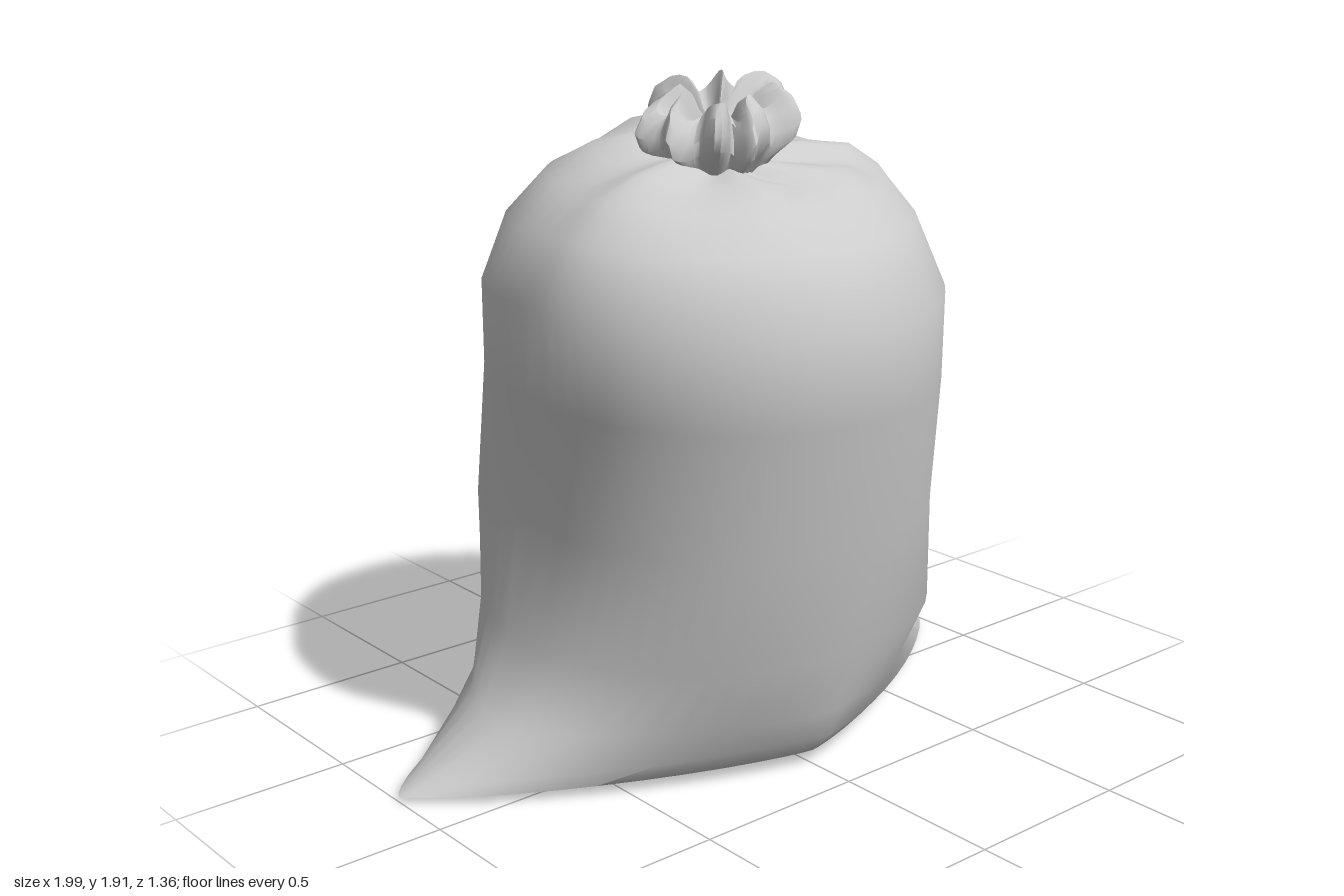
import * as THREE from 'three';
import { toCreasedNormals } from 'three/addons/utils/BufferGeometryUtils.js';

const material = new THREE.MeshStandardMaterial({ color: 0xcccccc, side: THREE.DoubleSide });
const { smoothstep } = THREE.MathUtils;

// Skins a stack of closed rings; each ring is an array of Vector3 with the same count.
function loft(rings, crease) {
  const n = rings[0].length;
  const index = [];
  for (let j = 0; j < rings.length - 1; j++) {
    for (let i = 0; i < n; i++) {
      const a = j * n + i, b = j * n + (i + 1) % n;
      index.push(a, a + n, b, b, a + n, b + n);
    }
  }
  const geometry = new THREE.BufferGeometry().setFromPoints(rings.flat());
  geometry.setIndex(index);
  return toCreasedNormals(geometry, crease);
}

const signedPow = (v, p) => Math.sign(v) * Math.abs(v) ** p;

// Superellipse section: pointed at the bottom corners, boxy low on the back,
// round above and pleated near the neck.
function sackRing([ySide, yFront, yBack, x0, x1, zBack, zFront, zSeam]) {
  const points = [];
  const count = 56;
  const frontPower = 1.25 + 0.85 * smoothstep(ySide, 0, 0.4) - 0.2 * smoothstep(ySide, 0.9, 1.4);
  const backPower = 1.4 + 1.4 * smoothstep(ySide, 0, 0.45) - 0.7 * smoothstep(ySide, 0.7, 1.4);
  const pleat = 0.06 * smoothstep(ySide, 1.6, 1.73);
  for (let i = 0; i < count; i++) {
    const a = (i / count) * Math.PI * 2;
    const front = i < count / 2;
    const power = 2 / (front ? frontPower : backPower);
    const c = signedPow(Math.cos(a), power), s = signedPow(Math.sin(a), power);
    const wave = pleat * Math.sin(a * 7 + 0.6);
    const fold = 1 + wave + 0.5 * pleat * Math.sin(a * 11);
    const y = ySide + ((front ? yFront : yBack) - ySide) * Math.abs(s);
    points.push(new THREE.Vector3(
      (x0 + x1) / 2 + ((x1 - x0) / 2) * c * fold,
      y + wave * 0.2,
      zSeam + (front ? zFront - zSeam : zSeam - zBack) * s * fold
    ));
  }
  return points;
}

// Gathered cloth above the tie: an uneven star of folds, tilted forward and to the right.
function crownRing([y, radius, depth]) {
  const points = [];
  const count = 96;
  for (let i = 0; i < count; i++) {
    const a = (i / count) * Math.PI * 2;
    const wave = Math.sin(a * 9 + 1.3 * Math.sin(a * 2 + 1)) + 0.5 * Math.sin(a * 14 + 1);
    const r = radius * (1 + depth * wave);
    const turn = a + depth * 0.5 * Math.sin(a * 5);
    const x = r * Math.cos(turn), z = r * Math.sin(turn);
    const ripple = 0.15 * depth * Math.sin(a * 8 + 2);
    points.push(new THREE.Vector3(-0.165 + x, y + ripple + 0.13 * x - 0.12 * z, 0.14 + z));
  }
  return points;
}

export function createModel() {
  const group = new THREE.Group();
  const add = (name, geometry) => {
    const mesh = new THREE.Mesh(geometry, material);
    mesh.name = name;
    group.add(mesh);
  };

  // Sack: underside, pulled-out bottom corners, leaning body, shoulders and tied neck
  const sections = [
    // ySide, yFront, yBack, x0, x1, zBack, zFront, zSeam
    [0.02, 0.02, 0.02, -0.001, 0.001, -0.101, -0.099, -0.1],
    [0.01, 0.025, 0.005, -0.9, 0.9, -0.42, 0.28, -0.19],
    [0.02, 0.05, 0.07, -1, 0.99, -0.58, 0.36, -0.2],
    [0.05, 0.11, 0.14, -0.94, 0.96, -0.62, 0.41, -0.19],
    [0.18, 0.2, 0.26, -0.73, 0.73, -0.66, 0.44, -0.15],
    [0.38, 0.38, 0.42, -0.62, 0.66, -0.67, 0.49, -0.11],
    [0.74, 0.72, 0.7, -0.62, 0.56, -0.675, 0.57, -0.03],
    [1.1, 1.08, 1.12, -0.66, 0.525, -0.62, 0.635, 0.06],
    [1.38, 1.32, 1.36, -0.73, 0.5, -0.57, 0.68, 0.13],
    [1.54, 1.51, 1.53, -0.65, 0.45, -0.53, 0.56, 0.12],
    [1.64, 1.6, 1.67, -0.56, 0.38, -0.39, 0.45, 0.12],
    [1.69, 1.65, 1.75, -0.45, 0.27, -0.24, 0.37, 0.13],
    [1.71, 1.66, 1.78, -0.37, 0.12, -0.1, 0.3, 0.14],
    [1.72, 1.68, 1.74, -0.28, -0.05, 0.03, 0.25, 0.14],
  ];
  add('sack', loft(sections.map(sackRing), 0.9));

  // Ruffled mouth: flares out of the neck, then curls back into a hollow
  const crown = [
    // y, radius, fold depth
    [1.68, 0.115, 0.05],
    [1.72, 0.145, 0.08],
    [1.76, 0.18, 0.12],
    [1.8, 0.185, 0.15],
    [1.84, 0.165, 0.17],
    [1.86, 0.13, 0.2],
    [1.83, 0.09, 0.22],
    [1.79, 0.06, 0.2],
    [1.77, 0.001, 0],
  ];
  add('gatheredMouth', loft(crown.map(crownRing), 0.8));

  return group;
}
